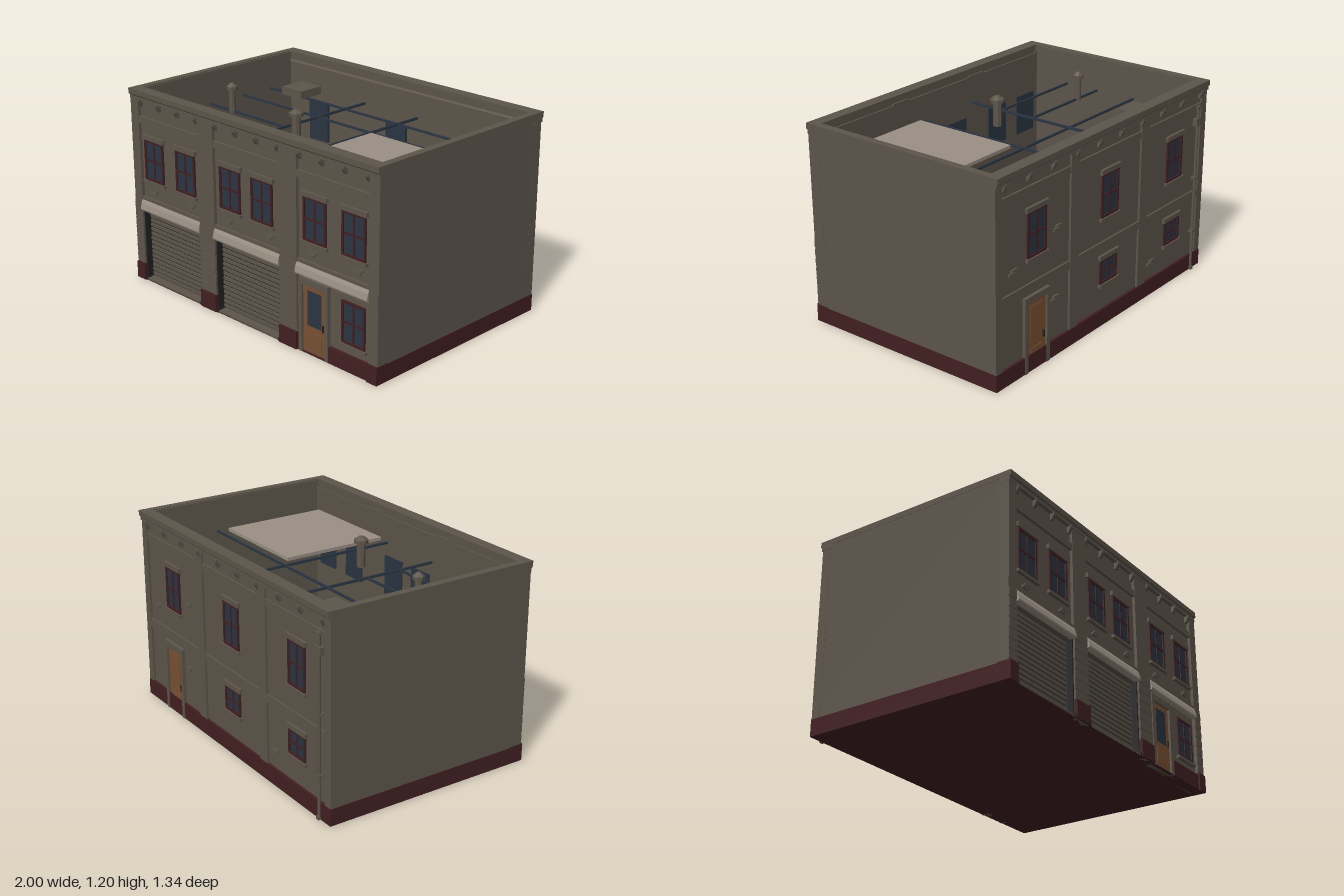
import * as THREE from 'three';

export function createModel() {
  const model = new THREE.Group();
  model.name = 'garageBuilding';
  const material = (name, color) => {
    const m = new THREE.MeshStandardMaterial({ color });
    m.name = name;
    return m;
  };
  const stone = material('stone', 0x5d554b);
  const red = material('darkRed', 0x421f22);
  const black = material('black', 0x222222);
  const glass = material('glassBlue', 0x2b3542);
  const beige = material('beige', 0x9b9084);
  const wood = material('wood', 0x7a5133);

  // box given by its limits on each axis
  const box = (parent, name, mat, x0, x1, y0, y1, z0, z1) => {
    const mesh = new THREE.Mesh(new THREE.BoxGeometry(x1 - x0, y1 - y0, z1 - z0), mat);
    mesh.position.set((x0 + x1) / 2, (y0 + y1) / 2, (z0 + z1) / 2);
    mesh.name = name;
    parent.add(mesh);
    return mesh;
  };
  // profile in (z, y) swept along x
  const sweep = (parent, name, mat, x0, x1, points) => {
    const shape = new THREE.Shape(points.map(([z, y]) => new THREE.Vector2(-z, y)));
    const geo = new THREE.ExtrudeGeometry(shape, { depth: x1 - x0, bevelEnabled: false });
    geo.rotateY(Math.PI / 2).translate(x0, 0, 0);
    const mesh = new THREE.Mesh(geo, mat);
    mesh.name = name;
    parent.add(mesh);
  };
  const group = (name, parent = model) => {
    const g = new THREE.Group();
    g.name = name;
    parent.add(g);
    return g;
  };

  // window with crossed bars, sill and lintel; the glass passes through the wall
  const addWindow = (parent, cx, y0, y1, w, trim = true) => {
    const g = group('window', parent), h = w / 2, t = 0.013, my = (y0 + y1) / 2;
    box(g, 'windowGlass', glass, cx - h, cx + h, y0, y1, 0.572, 0.638);
    for (const s of [-1, 1]) {
      const e = cx + s * (h - t / 2);
      box(g, 'windowJamb', red, e - t / 2, e + t / 2, y0, y1, 0.63, 0.646);
      const r = s < 0 ? y0 : y1 - t;
      box(g, 'windowRail', red, cx - h, cx + h, r, r + t, 0.63, 0.646);
    }
    box(g, 'windowMullion', red, cx - 0.005, cx + 0.005, y0, y1, 0.63, 0.643);
    box(g, 'windowCrossbar', red, cx - h, cx + h, my - 0.005, my + 0.005, 0.63, 0.643);
    box(g, 'windowSill', stone, cx - h - 0.013, cx + h + 0.013, y0 - 0.018, y0, 0.63, 0.655);
    if (trim) box(g, 'windowLintel', stone, cx - h - 0.013, cx + h + 0.013, y1, y1 + 0.028, 0.63, 0.652);
  };

  // door leaf with frame, handle, and either a pane or panels
  const addDoor = (parent, cx, w, h, pane) => {
    const g = group('door', parent), a = cx - w / 2, b = cx + w / 2;
    box(g, 'doorLeaf', wood, a, b, 0, h, 0.6, 0.642);
    box(g, 'doorJamb', stone, a - 0.025, a, 0, h + 0.038, 0.6, 0.656);
    box(g, 'doorJamb', stone, b, b + 0.025, 0, h + 0.038, 0.6, 0.656);
    box(g, 'doorHead', stone, a, b, h, h + 0.038, 0.6, 0.656);
    if (pane) box(g, 'doorPane', glass, cx - 0.053, cx + 0.053, 0.165, 0.37, 0.64, 0.644);
    else box(g, 'doorPanel', wood, a + 0.03, b - 0.03, 0.17, h - 0.03, 0.64, 0.646);
    box(g, 'doorLowerPanel', wood, a + 0.03, b - 0.03, 0.03, 0.13, 0.64, 0.646);
    box(g, 'doorHandle', black, b - 0.023, b - 0.015, 0.16, 0.2, 0.64, 0.652);
  };

  // moulded cornice shared by both long facades
  const addCornice = (parent) => sweep(parent, 'cornice', stone, -1, 1,
    [[0.58, 1.14], [0.656, 1.14], [0.656, 1.16], [0.665, 1.168], [0.665, 1.2], [0.59, 1.2], [0.59, 1.15]]);
  const addBracket = (parent, x) => sweep(parent, 'corniceBracket', stone, x - 0.011, x + 0.011,
    [[0.63, 1.1], [0.645, 1.1], [0.662, 1.13], [0.662, 1.148], [0.63, 1.148]]);
  const addBrick = (parent, x, y) => {
    box(parent, 'looseBrick', stone, x - 0.025, x + 0.025, y, y + 0.014, 0.63, 0.646);
    box(parent, 'looseBrick', stone, x - 0.005, x + 0.04, y + 0.018, y + 0.03, 0.63, 0.646);
  };

  // floor and side walls
  box(model, 'base', red, -0.999, 0.999, 0, 0.005, -0.65, 0.655);
  box(model, 'garageFloor', black, -0.94, -0.4, 0.005, 0.01, -0.6, 0.59);
  box(model, 'garageFloor', black, -0.27, 0.26, 0.005, 0.01, -0.6, 0.59);
  for (const s of [-1, 1]) {
    const lim = (a, b) => (s > 0 ? [a, b] : [-b, -a]);
    box(model, 'sideWall', stone, ...lim(0.945, 0.998), 0.1, 1.195, -0.648, 0.653);
    box(model, 'sideCoping', stone, ...lim(0.955, 1), 1.165, 1.2, -0.6, 0.6);
    box(model, 'sidePlinth', red, ...lim(0.945, 1), 0, 0.1, -0.651, 0.655);
  }

  // front facade
  const front = group('frontFacade');
  box(front, 'upperWall', stone, -0.95, 0.95, 0.45, 1.15, 0.58, 0.635);
  for (const [y0, y1] of [[0.5, 0.54], [1, 1.04]])
    box(front, 'wallBand', stone, -0.95, 0.95, y0, y1, 0.6, 0.651);
  for (const [x0, x1] of [[-0.999, -0.93], [-0.4, -0.27], [0.265, 0.4], [0.93, 0.999]]) {
    box(front, 'pier', stone, x0, x1, 0, 1.16, 0.58, 0.653);
    box(front, 'pierPlinth', red, x0 - 0.001, x1 + 0.001, 0, 0.105, 0.58, 0.665);
    for (let i = 0; i < 7; i++)
      box(front, 'pierBlock', stone, x0, x1, 0.112 + i * 0.058, 0.162 + i * 0.058, 0.62, 0.657);
  }
  addCornice(front);
  const bays = [[-0.93, -0.4], [-0.27, 0.265], [0.4, 0.93]];
  bays.forEach(([x0, x1], bay) => {
    const cx = (x0 + x1) / 2;
    for (let i = 0; i < 4; i++) addBracket(front, x0 + 0.015 + i * (x1 - x0 - 0.03) / 3);
    const winX = [[-0.815, -0.53], [-0.145, 0.115], [0.525, 0.81]][bay];
    for (const x of winX) addWindow(front, x, 0.655, 0.905, 0.17);
    sweep(front, 'awning', beige, x0 - 0.002, x1 + 0.002,
      [[0.6, 0.455], [0.666, 0.455], [0.67, 0.465], [0.662, 0.5], [0.652, 0.52], [0.6, 0.52]]);
    if (bay < 2) {
      // roller shutter with dark lining
      const g = group('rollerShutter', front);
      box(g, 'shutterBacking', black, x0, x1, 0, 0.46, 0.585, 0.598);
      box(g, 'shutterRail', black, x0, x0 + 0.008, 0, 0.46, 0.585, 0.645);
      box(g, 'shutterRail', black, x1 - 0.008, x1, 0, 0.46, 0.585, 0.645);
      for (let i = 0; i < 15; i++)
        box(g, 'shutterSlat', stone, x0 + 0.008, x1 - 0.008, 0.02 + i * 0.029, 0.039 + i * 0.029, 0.59, 0.607);
      box(g, 'threshold', stone, x0, x1, 0, 0.012, 0.58, 0.655);
      for (const e of [x0 + 0.006, x1 - 0.006])
        box(g, 'railFoot', black, e - 0.008, e + 0.008, 0, 0.02, 0.62, 0.66);
    } else {
      box(front, 'shopWall', stone, x0, x1, 0, 0.46, 0.58, 0.635);
      box(front, 'shopPlinth', red, 0.64, x1, 0, 0.095, 0.6, 0.656);
      addDoor(front, 0.524, 0.174, 0.4, true);
      addWindow(front, 0.81, 0.155, 0.4, 0.17, false);
    }
    addBrick(front, cx - 0.17, 0.57);
    addBrick(front, cx + 0.17, 0.575);
  });

  // back facade, built facing +z and turned around
  const back = group('backFacade');
  back.rotation.y = Math.PI;
  box(back, 'backWall', stone, -0.95, 0.95, 0.1, 1.15, 0.59, 0.635);
  box(back, 'backPlinth', red, -0.999, 0.999, 0, 0.1, 0.59, 0.651);
  for (const [x0, x1] of [[-0.999, -0.95], [-0.36, -0.285], [0.31, 0.385], [0.95, 0.999]])
    box(back, 'backPier', stone, x0, x1, 0.1, 1.16, 0.59, 0.648);
  for (const [y0, y1] of [[0.47, 0.52], [1.03, 1.07]])
    box(back, 'backBand', stone, -0.96, 0.96, y0, y1, 0.6, 0.646);
  addCornice(back);
  for (let i = 0; i < 10; i++) addBracket(back, -0.93 + i * 0.2067);
  for (const x of [-0.65, 0.015, 0.675]) addWindow(back, x, 0.665, 0.925, 0.16);
  for (const x of [0.015, 0.675]) addWindow(back, x, 0.26, 0.41, 0.16);
  addDoor(back, -0.655, 0.165, 0.41, false);
  for (const [x, y] of [[-0.86, 0.62], [-0.48, 0.74], [-0.5, 0.33], [0.45, 0.19]]) addBrick(back, x, y);

  // drainpipe
  const drain = group('drainpipe', back);
  const pipe = new THREE.Mesh(new THREE.CylinderGeometry(0.01, 0.01, 1.05, 8), stone);
  pipe.position.set(0.9, 0.535, 0.653);
  pipe.name = 'downpipe';
  drain.add(pipe);
  box(drain, 'rainHead', stone, 0.875, 0.925, 0.94, 0.985, 0.63, 0.664);
  box(drain, 'pipeFoot', stone, 0.888, 0.912, 0, 0.02, 0.64, 0.666);
  for (const y of [0.25, 0.6, 1.05])
    box(drain, 'pipeClamp', stone, 0.884, 0.916, y, y + 0.012, 0.635, 0.664);

  // roof level: open grid of bars, hatch slab, vent box and flues
  const roof = group('roofGrid');
  for (const [z, x0, x1] of [[-0.4, -0.935, 0.93], [-0.17, -0.935, 0.93], [0.1, -0.935, -0.27], [0.33, -0.935, -0.27]])
    box(roof, 'roofBar', glass, x0, x1, 0.99, 1.002, z - 0.006, z + 0.006);
  for (const x of [-0.27, 0.16])
    box(roof, 'roofBar', glass, x - 0.006, x + 0.006, 0.99, 1.004, -0.57, 0.56);
  box(model, 'roofSlab', beige, 0.21, 0.88, 1.0, 1.02, -0.12, 0.55);
  box(model, 'ventBox', stone, -0.73, -0.56, 1.015, 1.065, -0.48, -0.31);
  for (const [x, z, r] of [[-0.73, 0.1, 0.034], [-0.07, 0.2, 0.043]]) {
    const flue = group('flue');
    flue.position.set(x, 0, z);
    const parts = [['flueStem', r * 0.6, r * 0.6, 0.15, 1.06], ['flueCap', r, r, 0.02, 1.14], ['flueTop', r * 0.3, r, 0.02, 1.16]];
    for (const [name, top, bottom, h, y] of parts) {
      const m = new THREE.Mesh(new THREE.CylinderGeometry(top, bottom, h, 8).toNonIndexed(), stone);
      m.geometry.computeVertexNormals();
      m.position.y = y;
      m.name = name;
      flue.add(m);
    }
  }
  return model;
}
